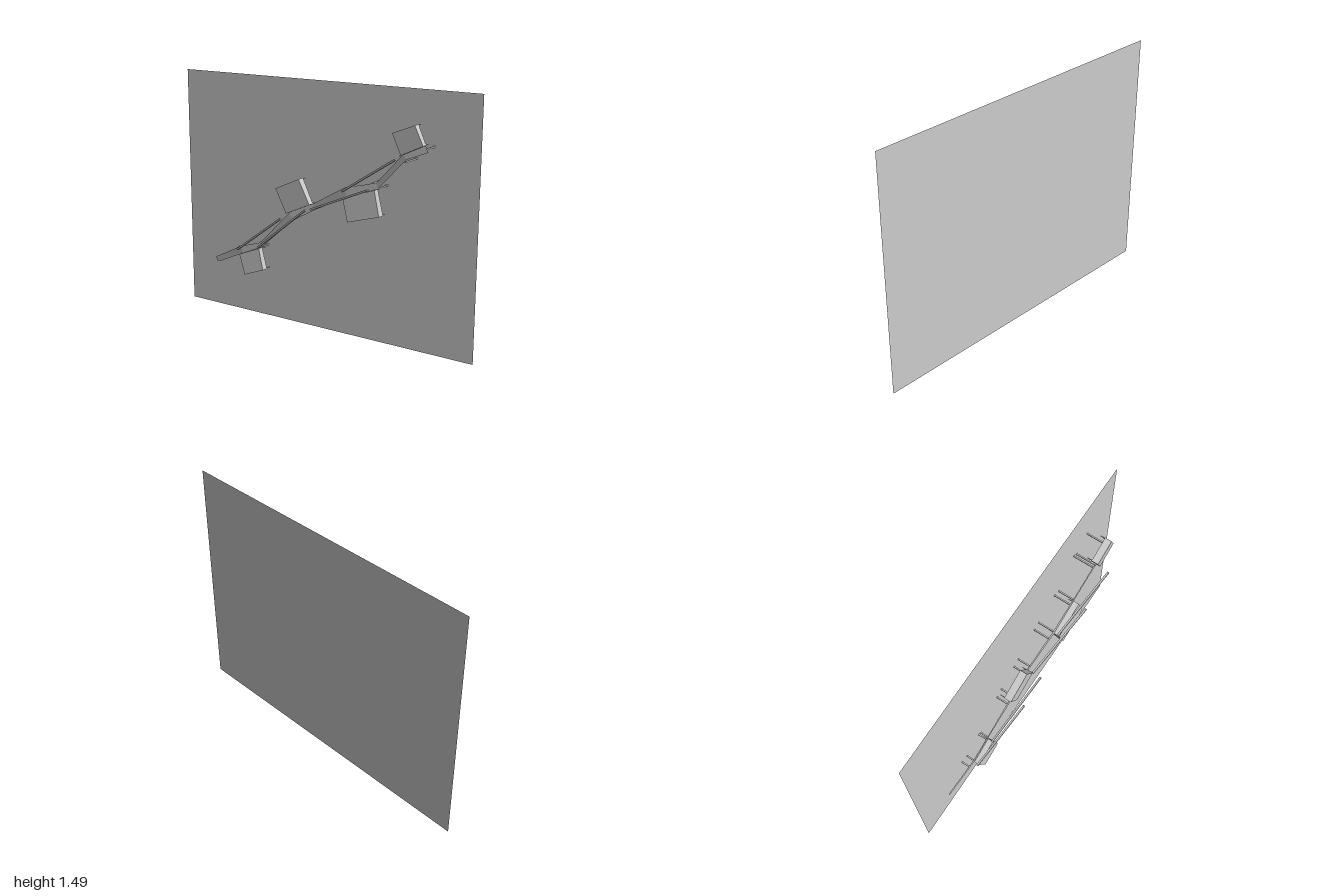
import * as THREE from 'three';

const grey = new THREE.MeshStandardMaterial({ color: 0xcccccc, flatShading: true });
const thin = new THREE.MeshStandardMaterial({ color: 0xcccccc, flatShading: true, side: THREE.DoubleSide });
const WALL_Z = -0.11;

// Walkway stations: upper edge x, y; lower edge x, y; shared depth z
const STATIONS = [
  [-0.78, 0.32, -0.78, 0.294, -0.083],
  [-0.75, 0.335, -0.75, 0.294, -0.08],
  [-0.56, 0.43, -0.545, 0.388, -0.056],
  [-0.41, 0.477, -0.4, 0.45, -0.056],
  [-0.17, 0.707, -0.15, 0.66, -0.031],
  [-0.005, 0.782, 0.005, 0.745, -0.031],
  [0.23, 0.915, 0.24, 0.862, -0.006],
  [0.43, 0.964, 0.44, 0.93, -0.006],
  [0.61, 1.151, 0.625, 1.119, 0.018],
  [0.74, 1.21, 0.757, 1.173, 0.018],
];

// Houses: corners counter-clockwise, starting with the edge on the walkway
const HOUSES = [
  { corners: [[-0.395, 0.45], [-0.545, 0.39], [-0.5, 0.268], [-0.36, 0.321]], back: -0.054, near: -0.02, far: -0.013 },
  { corners: [[-0.17, 0.707], [-0.005, 0.782], [-0.075, 0.926], [-0.24, 0.851]], back: -0.031, near: 0.007, far: 0.014 },
  { corners: [[0.44, 0.932], [0.235, 0.862], [0.273, 0.728], [0.476, 0.787]], back: -0.008, near: 0.029, far: 0.037 },
  { corners: [[0.61, 1.146], [0.743, 1.21], [0.695, 1.317], [0.561, 1.263]], back: 0.017, near: 0.05, far: 0.058 },
];

// Beams: start and end points
const BEAMS = [
  [[-0.56, 0.418, -0.022], [-0.173, 0.687, 0.056]],
  [[-0.4, 0.458, -0.022], [0, 0.763, 0.056]],
  [[0, 0.755, 0.002], [0.432, 0.942, 0.081]],
  [[0.228, 0.897, 0.025], [0.61, 1.134, 0.104]],
];

// Wall posts: x, y, depth of the walkway they carry
const POSTS = [
  [-0.59, 0.413, -0.06], [-0.54, 0.396, -0.056], [-0.41, 0.477, -0.056], [-0.39, 0.457, -0.055],
  [-0.205, 0.652, -0.036], [-0.16, 0.69, -0.031], [-0.025, 0.755, -0.031], [0.02, 0.776, -0.029],
  [0.19, 0.872, -0.01], [0.235, 0.888, -0.006], [0.4, 0.957, -0.006], [0.445, 0.935, -0.005],
  [0.59, 1.135, 0.016], [0.622, 1.107, 0.018], [0.727, 1.182, 0.018],
];

function add(group, name, geometry, material = grey) {
  const mesh = new THREE.Mesh(geometry, material);
  mesh.name = name;
  group.add(mesh);
  return mesh;
}

// Straight square bar between two points
function bar(group, name, from, to, size) {
  const a = new THREE.Vector3(...from), b = new THREE.Vector3(...to);
  const mesh = add(group, name, new THREE.BoxGeometry(size, size, a.distanceTo(b)));
  mesh.position.copy(a).lerp(b, 0.5);
  mesh.lookAt(b);
  return mesh;
}

// Folded ribbon of ramps and landings
function walkwayGeometry() {
  const points = [], faces = [];
  STATIONS.forEach(([ux, uy, lx, ly, z], i) => {
    points.push(ux, uy, z, lx, ly, z);
    if (i) {
      const k = 2 * i;
      faces.push(k - 2, k - 1, k + 1, k - 2, k + 1, k);
    }
  });
  const geometry = new THREE.BufferGeometry();
  geometry.setAttribute('position', new THREE.Float32BufferAttribute(points, 3));
  geometry.setIndex(faces);
  geometry.computeVertexNormals();
  return geometry;
}

// Block whose front rises away from the walkway
function houseGeometry({ corners, back, near, far }) {
  const points = [], faces = [0, 2, 1, 0, 3, 2, 4, 5, 6, 4, 6, 7];
  corners.forEach(([x, y]) => points.push(x, y, back));
  corners.forEach(([x, y], i) => points.push(x, y, i < 2 ? near : far));
  for (let i = 0; i < 4; i++) {
    const j = (i + 1) % 4;
    faces.push(i, j, j + 4, i, j + 4, i + 4);
  }
  const geometry = new THREE.BufferGeometry();
  geometry.setAttribute('position', new THREE.Float32BufferAttribute(points, 3));
  geometry.setIndex(faces);
  geometry.computeVertexNormals();
  return geometry;
}

export function createModel() {
  const model = new THREE.Group();
  model.name = 'wallMountedWalkway';

  // Backing wall
  add(model, 'wall', new THREE.PlaneGeometry(2, 1.485), thin).position.set(0, 1.485 / 2, WALL_Z);

  add(model, 'walkway', walkwayGeometry(), thin);

  // Houses with a short pin behind each corner
  HOUSES.forEach((house) => {
    const group = new THREE.Group();
    group.name = 'house';
    add(group, 'houseBlock', houseGeometry(house));
    const cx = house.corners.reduce((s, c) => s + c[0] / 4, 0);
    const cy = house.corners.reduce((s, c) => s + c[1] / 4, 0);
    house.corners.forEach(([x, y]) => {
      const px = cx + (x - cx) * 0.95, py = cy + (y - cy) * 0.95;
      bar(group, 'housePin', [px, py, house.back], [px, py, house.back - 0.028], 0.004);
    });
    model.add(group);
  });

  BEAMS.forEach(([from, to]) => bar(model, 'beam', from, to, 0.011));

  POSTS.forEach(([x, y, z]) => bar(model, 'wallPost', [x, y, WALL_Z], [x, y, z], 0.008));

  return model;
}
